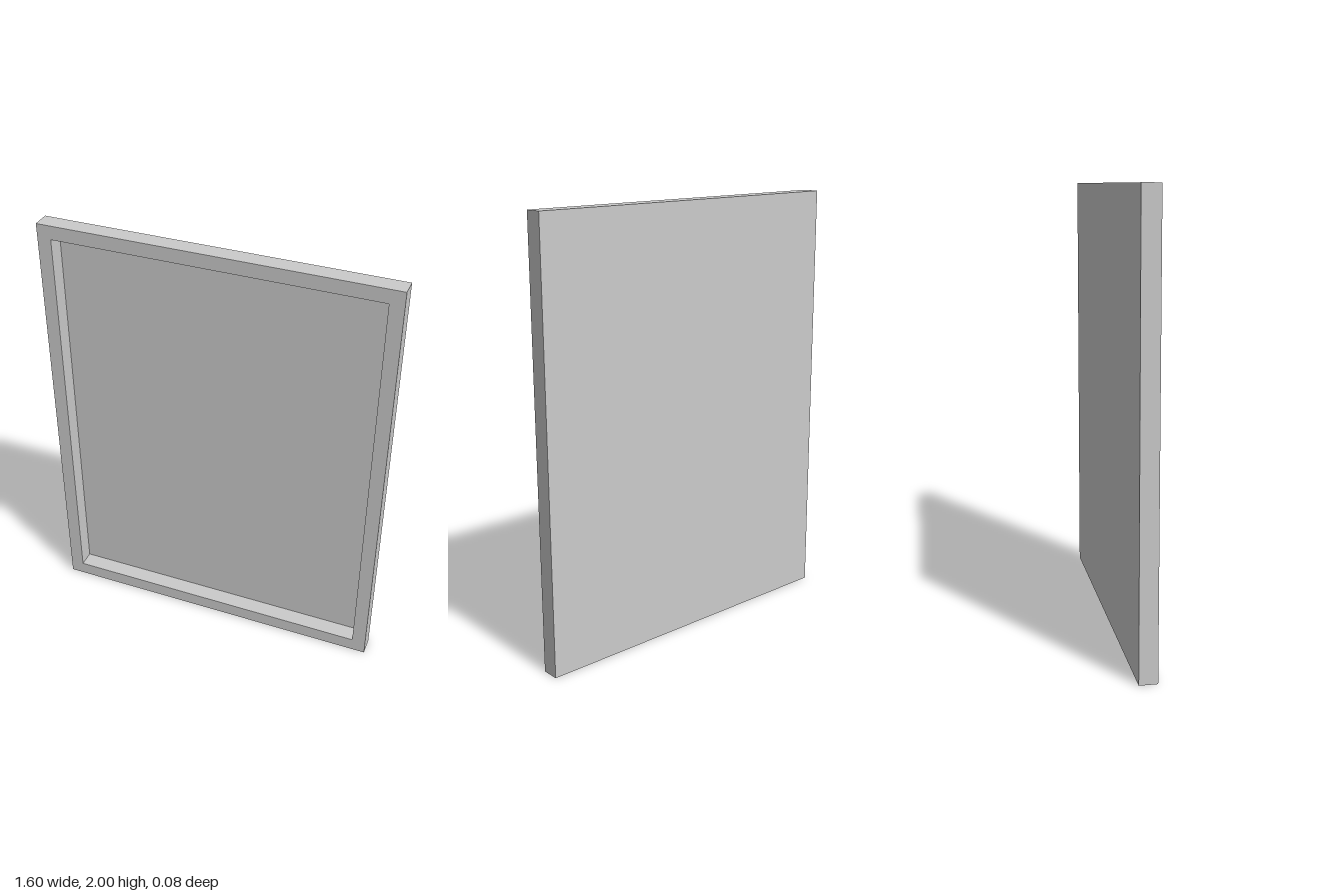
import * as THREE from 'three';

const WIDTH = 1.595, HEIGHT = 2, DEPTH = 0.081, BORDER = 0.064, PANEL = 0.003;

// Rectangle outline centred on x = 0, inset from the outer edge
function outline(PathType, inset) {
  const x = WIDTH / 2 - inset, y0 = inset, y1 = HEIGHT - inset;
  return new PathType([[-x, y0], [x, y0], [x, y1], [-x, y1]].map(([a, b]) => new THREE.Vector2(a, b)));
}

export function createModel() {
  const group = new THREE.Group();
  group.name = 'pictureFrame';
  const material = new THREE.MeshStandardMaterial({ color: 0xcccccc });

  // Border: one rectangular ring with square edges
  const shape = outline(THREE.Shape, 0);
  shape.holes.push(outline(THREE.Path, BORDER));
  const border = new THREE.Mesh(
    new THREE.ExtrudeGeometry(shape, { depth: DEPTH, bevelEnabled: false }), material);
  border.name = 'border';
  border.position.z = -DEPTH / 2;
  group.add(border);

  // Thin backing panel, set in the opening flush with the back
  const panel = new THREE.Mesh(
    new THREE.BoxGeometry(WIDTH - 2 * BORDER, HEIGHT - 2 * BORDER, PANEL), material);
  panel.name = 'backPanel';
  panel.position.set(0, HEIGHT / 2, (PANEL - DEPTH) / 2);
  group.add(panel);

  return group;
}
